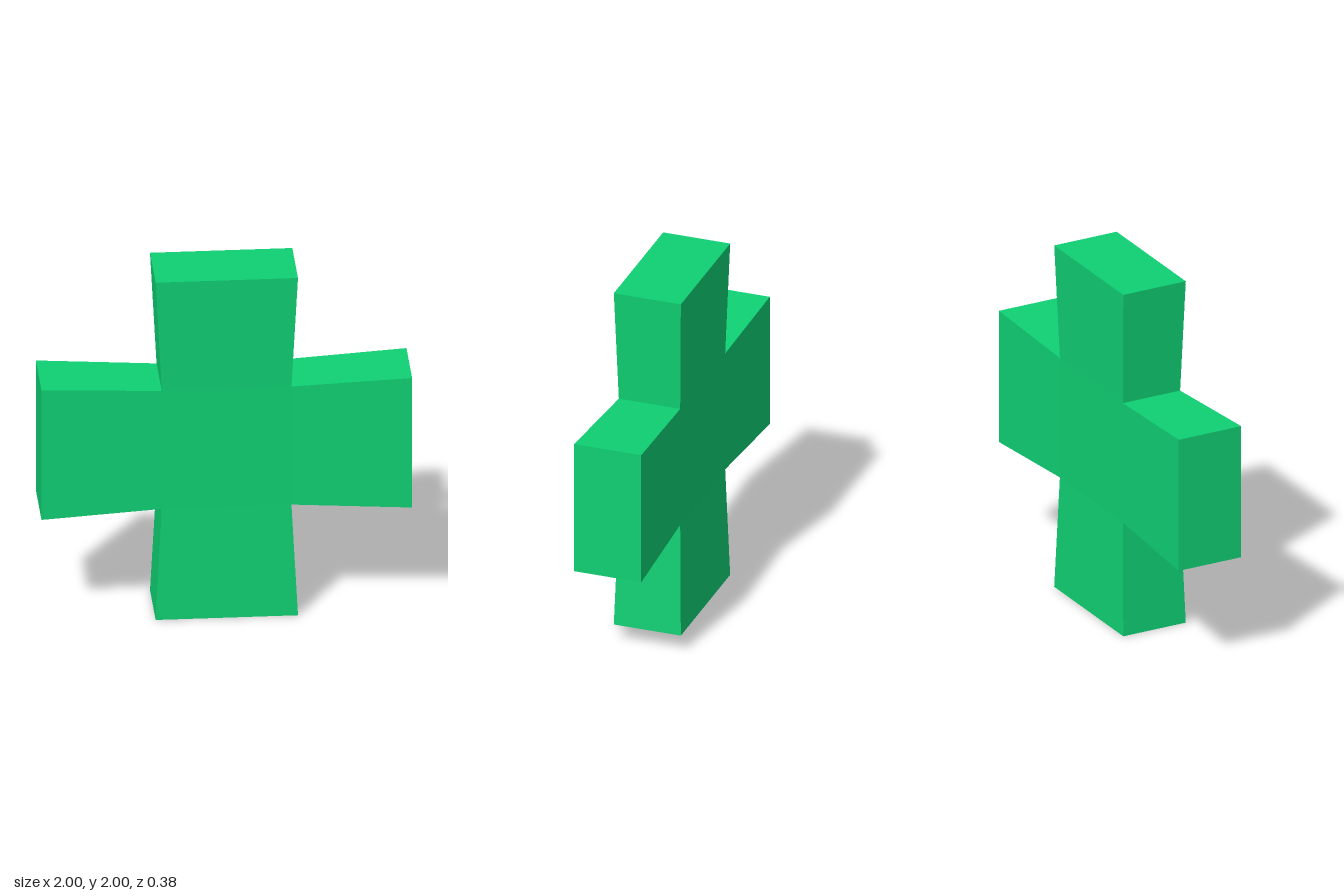
import * as THREE from 'three';

const INNER = 0.35, OUTER = 0.384;          // half widths of an arm at its root and its end
const INNER_DEPTH = 0.176, OUTER_DEPTH = 0.192;

// Arm pointing up, flaring from root to end, without the hidden root face
function armGeometry() {
  const box = new THREE.BoxGeometry(2, 1 - INNER, 2);
  box.translate(0, (1 + INNER) / 2, 0);
  const index = Array.from(box.index.array);
  index.splice(18, 6);
  box.setIndex(index);
  box.clearGroups();
  const p = box.attributes.position;
  for (let i = 0; i < p.count; i++) {
    const end = p.getY(i) > 0.7;
    p.setX(i, p.getX(i) * (end ? OUTER : INNER));
    p.setZ(i, p.getZ(i) * (end ? OUTER_DEPTH : INNER_DEPTH));
  }
  box.computeVertexNormals();
  return box;
}

export function createModel() {
  const group = new THREE.Group();
  group.name = 'cross';
  const green = new THREE.MeshStandardMaterial({ color: 0x0fd073 });
  green.name = 'emerald green';

  // Four flared arms around the centre
  const geometry = armGeometry();
  ['topArm', 'rightArm', 'bottomArm', 'leftArm'].forEach((name, i) => {
    const arm = new THREE.Mesh(geometry, green);
    arm.name = name;
    arm.position.y = 1;
    arm.rotation.z = i * Math.PI / 2;
    group.add(arm);
  });

  // Square centre, front and back
  for (const side of [1, -1]) {
    const face = new THREE.Mesh(new THREE.PlaneGeometry(2 * INNER, 2 * INNER), green);
    face.name = side > 0 ? 'centreFront' : 'centreBack';
    face.position.set(0, 1, side * INNER_DEPTH);
    if (side < 0) face.rotation.y = Math.PI;
    group.add(face);
  }
  return group;
}
